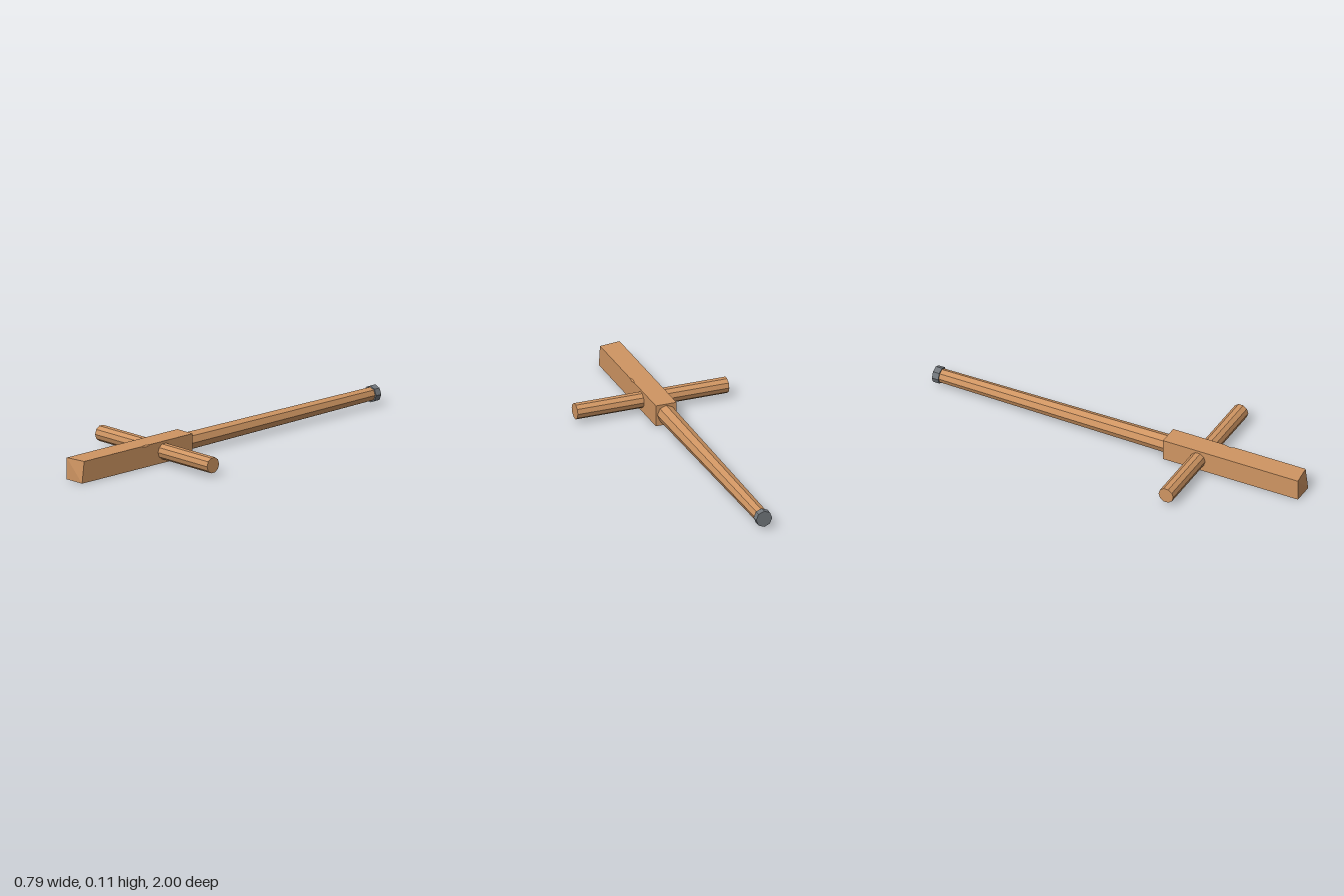
import * as THREE from 'three';

const wood = new THREE.MeshStandardMaterial({ color: 0xcf9562, flatShading: true });
wood.name = 'wood';
const metal = new THREE.MeshStandardMaterial({ color: 0x72777c, flatShading: true });
metal.name = 'grey metal';

// Solid from named corners and polygon faces; each face is a fan from its first corner
function facetedSolid(corners, faces) {
  const positions = [];
  for (const face of faces) {
    for (let i = 1; i < face.length - 1; i++) {
      for (const key of [face[0], face[i], face[i + 1]]) positions.push(...corners[key]);
    }
  }
  const geometry = new THREE.BufferGeometry();
  geometry.setAttribute('position', new THREE.Float32BufferAttribute(positions, 3));
  geometry.computeVertexNormals();
  return geometry;
}

// Prism along z from zBack to zFront, with an edge running along its top
function rod(name, material, sides, rBack, rFront, zBack, zFront) {
  const geometry = new THREE.CylinderGeometry(rFront, rBack, zFront - zBack, sides);
  geometry.rotateX(Math.PI / 2);
  const mesh = new THREE.Mesh(geometry, material);
  mesh.name = name;
  mesh.position.set(-0.005, 0.057, (zBack + zFront) / 2);
  return mesh;
}

export function createModel() {
  const model = new THREE.Group();
  model.name = 'woodenTool';

  // Square block with one cut-back front corner and a small nick in its upper edge
  const x0 = -0.059, x1 = 0.049, top = 0.109, back = 0.265;
  const corners = {
    A: [x0, top, 1], B: [x1, top, 0.986], C: [x0, 0, 1], D: [x1, 0, 1],
    E: [x0, top, back], F: [x1, top, back], G: [x0, 0, back], H: [x1, 0, back],
    P: [x1, top, 0.605], Q: [x1, top, 0.54],
    T: [0.041, top, 0.575], S: [x1, 0.102, 0.575],
  };
  const faces = ['TQFEABP', 'SPBDHFQ', 'ACDB', 'HGEF', 'GCAE', 'GHDC', 'TPS', 'TSQ'];
  const block = new THREE.Mesh(facetedSolid(corners, faces), wood);
  block.name = 'block';
  model.add(block);

  // Tapered shaft and its end cap
  model.add(rod('shaft', wood, 8, 0.035, 0.046, -0.97, 0.27));
  model.add(rod('endCap', metal, 8, 0.042, 0.042, -1, -0.966));

  // Crossbar through the block
  const barGeometry = new THREE.CylinderGeometry(0.04, 0.04, 0.79, 10);
  barGeometry.rotateZ(Math.PI / 2);
  const bar = new THREE.Mesh(barGeometry, wood);
  bar.name = 'crossbar';
  bar.position.set(0, 0.058, 0.455);
  model.add(bar);

  return model;
}
